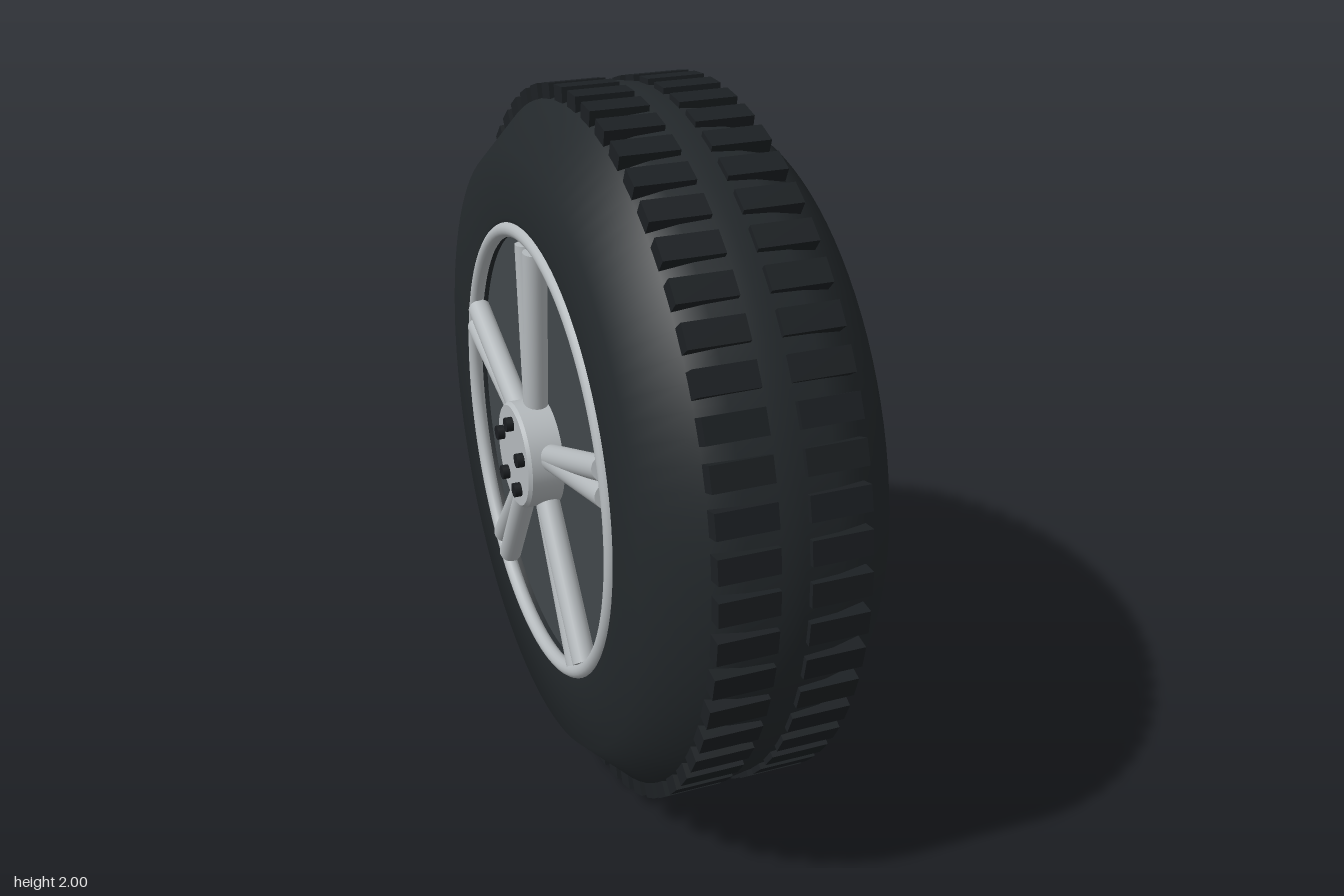
import * as THREE from 'three';

const material = (color) => new THREE.MeshStandardMaterial({ color });

export function createModel() {
  const wheel = new THREE.Group();
  wheel.name = 'wheel';

  const rubber = material(0x23282b);
  const treadRubber = material(0x1c2023);
  const metal = material(0xb4b9bc);
  const darkMetal = material(0x41474a);
  const boltMetal = material(0x1a1d20);

  const add = (parent, name, geometry, mat) => {
    const mesh = new THREE.Mesh(geometry, mat);
    mesh.name = name;
    parent.add(mesh);
    return mesh;
  };

  // Surface of revolution around the x axle, profile given as [radius, x]
  const turned = (profile, segments) =>
    new THREE.LatheGeometry(profile.map(([r, x]) => new THREE.Vector2(r, x)), segments).rotateZ(-Math.PI / 2);

  // Cylinder lying along the axle
  const axleCylinder = (radius, length, segments) =>
    new THREE.CylinderGeometry(radius, radius, length, segments).rotateZ(-Math.PI / 2);

  // Everything is built around the axle, which sits one unit above the ground
  const body = new THREE.Group();
  body.name = 'wheelBody';
  body.position.y = 1;
  wheel.add(body);

  // Tyre: flat sidewalls, chamfered shoulders, slightly crowned running surface
  add(body, 'tyre', turned([
    [0.61, -0.27], [0.615, -0.325], [0.65, -0.33], [0.835, -0.33], [0.958, -0.2], [0.978, -0.12],
    [0.985, -0.03], [0.99, 0], [0.985, 0.03],
    [0.978, 0.12], [0.958, 0.2], [0.835, 0.33], [0.65, 0.33], [0.615, 0.325], [0.61, 0.27],
  ], 96), rubber);

  // Two rows of tread blocks
  const tread = new THREE.Group();
  tread.name = 'tread';
  body.add(tread);
  const blockCount = 57;
  const blockGeometry = new THREE.BoxGeometry(0.16, 0.045, 0.066);
  for (let i = 0; i < blockCount; i++) {
    const angle = (i / blockCount) * Math.PI * 2;
    for (const side of [-1, 1]) {
      const block = add(tread, 'treadBlock', blockGeometry, treadRubber);
      block.position.set(side * 0.12, Math.cos(angle) * 0.977, Math.sin(angle) * 0.977);
      block.rotation.x = angle;
    }
  }

  // Spoke: a cylinder from the hub out to the rim, leaning to one side
  const spokeGeometry = (lean) => {
    const from = new THREE.Vector3(0.32, 0.08, 0);
    const to = new THREE.Vector3(0.32, 0.6, lean);
    return new THREE.TubeGeometry(new THREE.LineCurve3(from, to), 1, 0.033, 24);
  };

  // Rim face, built for +x and turned round for the other side
  const makeFace = (name) => {
    const face = new THREE.Group();
    face.name = name;
    body.add(face);

    add(face, 'rimRing', new THREE.TorusGeometry(0.62, 0.021, 16, 96).rotateY(Math.PI / 2), metal)
      .position.x = 0.323;
    add(face, 'rimDisc', axleCylinder(0.615, 0.02, 96), darkMetal).position.x = 0.28;

    // Hub: drum with a flat cap and a small bevel
    add(face, 'hub', turned([[0.15, 0.28], [0.15, 0.38]], 48), metal);
    add(face, 'hubBevel', turned([[0.15, 0.38], [0.142, 0.39]], 48), metal);
    add(face, 'hubCap', new THREE.CircleGeometry(0.142, 48).rotateY(Math.PI / 2), metal).position.x = 0.39;

    // Five twin spokes, each with a bolt in line on the hub
    for (let i = 0; i < 5; i++) {
      const arm = new THREE.Group();
      arm.name = 'spokeArm';
      arm.rotation.x = (i / 5) * Math.PI * 2;
      face.add(arm);
      for (const side of [-1, 1]) {
        const lean = side * 0.035;
        add(arm, 'spoke', spokeGeometry(lean), metal);
        const end = add(arm, 'spokeEnd', new THREE.CircleGeometry(0.033, 24).rotateX(-Math.PI / 2), metal);
        end.position.set(0.32, 0.6, lean);
        end.rotation.x = Math.atan2(lean, 0.52);
      }
      add(arm, 'bolt', axleCylinder(0.02, 0.04, 16), boltMetal).position.set(0.39, 0.097, 0);
    }
    return face;
  };
  makeFace('leftFace');
  makeFace('rightFace').rotation.y = Math.PI;

  return wheel;
}
